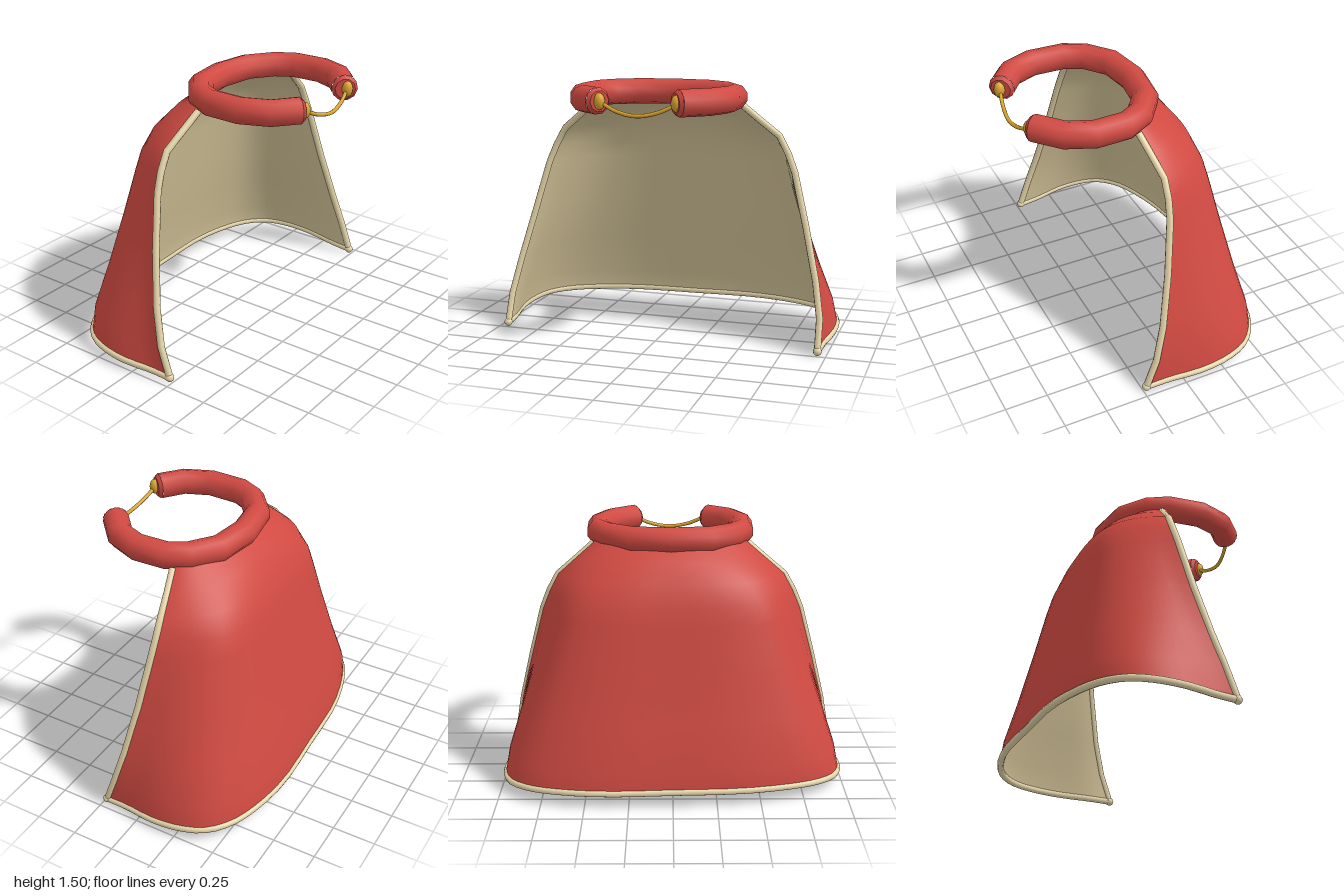
import * as THREE from 'three';

const V = (x, y, z) => new THREE.Vector3(x, y, z);
const mat = color => new THREE.MeshStandardMaterial({ color });

// A curve running straight from point to point, one tube ring per point
class PolyCurve extends THREE.Curve {
  constructor(pts) { super(); this.pts = pts; }
  getPoint(t) {
    const n = this.pts.length - 1, f = Math.min(Math.max(t, 0), 1) * n, i = Math.min(Math.floor(f), n - 1);
    return this.pts[i].clone().lerp(this.pts[i + 1], f - i);
  }
  getPointAt(t) { return this.getPoint(t); }
  getTangentAt(t) {
    const n = this.pts.length - 1, i = Math.round(t * n), dir = V(0, 0, 0);
    if (i > 0) dir.add(this.pts[i].clone().sub(this.pts[i - 1]).normalize());
    if (i < n) dir.add(this.pts[i + 1].clone().sub(this.pts[i]).normalize());
    return dir.normalize();
  }
}
const polyTube = (pts, r, sides) => new THREE.TubeGeometry(new PolyCurve(pts), pts.length - 1, r, sides, false);

// Cape rows, top to hem: front edge x, y, z, then back y, z, side bulge,
// and the section: 0 round, 1 tapered, 2 boxy. The first row tucks into the collar.
const ROWS = [
  [0.405, 1.42, 0.06, 1.42, -0.135, 1, 0],
  [0.45, 1.385, 0.05, 1.38, -0.175, 1, 0],
  [0.55, 1.3, 0.025, 1.33, -0.25, 1, 0.3],
  [0.66, 1.21, 0, 1.22, -0.335, 1, 0.7],
  [0.715, 1.11, 0, 1.1, -0.38, 1, 1],
  [0.76, 1.0, 0.01, 1.0, -0.405, 1, 1],
  [0.84, 0.7, 0.055, 0.75, -0.46, 1.005, 1.2],
  [0.915, 0.4, 0.115, 0.45, -0.53, 1.015, 1.5],
  [0.953, 0.2, 0.17, 0.2, -0.595, 1.025, 1.85],
  [0.957, 0.027, 0.23, 0.09, -0.605, 1.037, 2],
];
// Half cross-sections from back centre (0, 0) to front edge (1, 1)
const ROUND = Array.from({ length: 9 }, (_, j) => [Math.sin(j * Math.PI / 16), 1 - Math.cos(j * Math.PI / 16)]);
const TAPERED = [[0, 0], [0.36, 0.01], [0.58, 0.075], [0.72, 0.18], [0.81, 0.33], [0.875, 0.5], [0.925, 0.68], [0.965, 0.85], [1, 1]];
const BOXY = [[0, 0], [0.4, 0.005], [0.67, 0.07], [0.83, 0.15], [0.94, 0.27], [0.99, 0.43], [1, 0.63], [0.99, 0.85], [1, 1]];
const COLS = 40;

function capeRow([ex, ey, ez, by, bz, bulge, section], i) {
  const [from, to, mix] = section < 1 ? [ROUND, TAPERED, section] : [TAPERED, BOXY, section - 1];
  const low = i / (ROWS.length - 1), pts = [];
  for (let k = -8; k <= 8; k++) {
    const j = Math.abs(k);
    const u = THREE.MathUtils.lerp(from[j][0], to[j][0], mix);
    const v = THREE.MathUtils.lerp(from[j][1], to[j][1], mix);
    const x = Math.sign(k) * u * ex * (1 + (bulge - 1) * Math.min(1, (8 - j) / 2));
    const lean = 0.05 * x * (1 - v) * low;
    pts.push(V(x + 0.012 * (1 - low), by + (ey - by) * v, bz + (ez - bz) * v - lean));
  }
  const curve = new THREE.CatmullRomCurve3(pts);
  return Array.from({ length: COLS + 1 }, (_, c) => curve.getPoint(c / COLS));
}

function sheet(rows, inside) {
  const w = COLS + 1, index = [];
  for (let r = 0; r < rows.length - 1; r++) {
    for (let c = 0; c < COLS; c++) {
      const a = r * w + c, b = a + 1, d = a + w, e = d + 1;
      // columns run from -x round the back to +x, so the outside faces -z
      if (inside) index.push(a, d, b, b, d, e);
      else index.push(a, b, d, b, e, d);
    }
  }
  const g = new THREE.BufferGeometry().setFromPoints(rows.flat());
  g.setIndex(index);
  g.computeVertexNormals();
  return g;
}

export function createModel() {
  const group = new THREE.Group();
  const red = mat(0xd04a42), cream = mat(0xe6d7ab), lining = mat(0xd2c297), gold = mat(0xd9a52e);
  const add = (name, geometry, material, parent = group) => {
    const m = new THREE.Mesh(geometry, material);
    m.name = name;
    parent.add(m);
    return m;
  };

  // Cloth: outer sheet, and a lining pushed inwards along its normals
  const rows = ROWS.map(capeRow);
  const outer = sheet(rows, false);
  const n = outer.attributes.normal;
  const inset = d => rows.map((row, r) => row.map((p, c) =>
    p.clone().addScaledVector(V(0, 0, 0).fromBufferAttribute(n, r * (COLS + 1) + c), -d)));
  add('capeOuter', outer, red);
  add('capeLining', sheet(inset(0.016), true), lining);

  // Piping down both front edges and along the hem
  const mid = inset(0.006), hem = mid[mid.length - 1];
  const edges = {
    rightEdgeTrim: mid.slice(1).map(row => row[0]),
    leftEdgeTrim: mid.slice(1).map(row => row[COLS]),
    hemTrim: hem,
  };
  for (const [name, pts] of Object.entries(edges)) add(name, polyTube(pts, 0.02, 8), cream);
  for (const c of [0, COLS]) {
    const knob = add('trimCorner', new THREE.SphereGeometry(0.025, 10, 8), cream);
    knob.position.copy(hem[c]);
  }

  // Padded collar, open at the front, with bevelled ends
  const collar = new THREE.Group();
  collar.name = 'collar';
  group.add(collar);
  const Y = 1.43, R = 0.075;
  const ring = [
    [-0.222, 0.562], [-0.345, 0.462], [-0.407, 0.31], [-0.4, 0.11], [-0.345, 0], [-0.21, -0.105], [0.01, -0.138],
    [0.225, -0.105], [0.365, 0], [0.427, 0.11], [0.433, 0.29], [0.372, 0.44], [0.235, 0.562],
  ].map(([x, z]) => V(x, Y, z));
  add('collarRoll', polyTube(ring, R, 10), red, collar);
  const ends = [[ring[0], ring[1]], [ring[12], ring[11]]];
  for (const [end, prev] of ends) {
    const dir = end.clone().sub(prev).normalize();
    const cap = add('collarEnd', new THREE.CylinderGeometry(0.058, R, 0.02, 10), red, collar);
    cap.quaternion.setFromUnitVectors(V(0, 1, 0), dir);
    cap.position.copy(end).addScaledVector(dir, 0.01);
  }

  // Clasp: two studs joined by a sagging cord
  const clasp = new THREE.Group();
  clasp.name = 'clasp';
  group.add(clasp);
  for (const x of [-0.205, 0.23]) {
    const stud = add('claspStud', new THREE.SphereGeometry(0.042, 14, 10), gold, clasp);
    stud.scale.set(0.75, 1.1, 0.75);
    stud.position.set(x, Y, 0.582);
  }
  const cord = new THREE.CatmullRomCurve3([
    V(-0.2, 1.425, 0.58), V(-0.1, 1.38, 0.602), V(0.015, 1.36, 0.614), V(0.13, 1.38, 0.602), V(0.23, 1.425, 0.58),
  ]);
  add('claspCord', new THREE.TubeGeometry(cord, 20, 0.011, 8), gold, clasp);

  return group;
}
